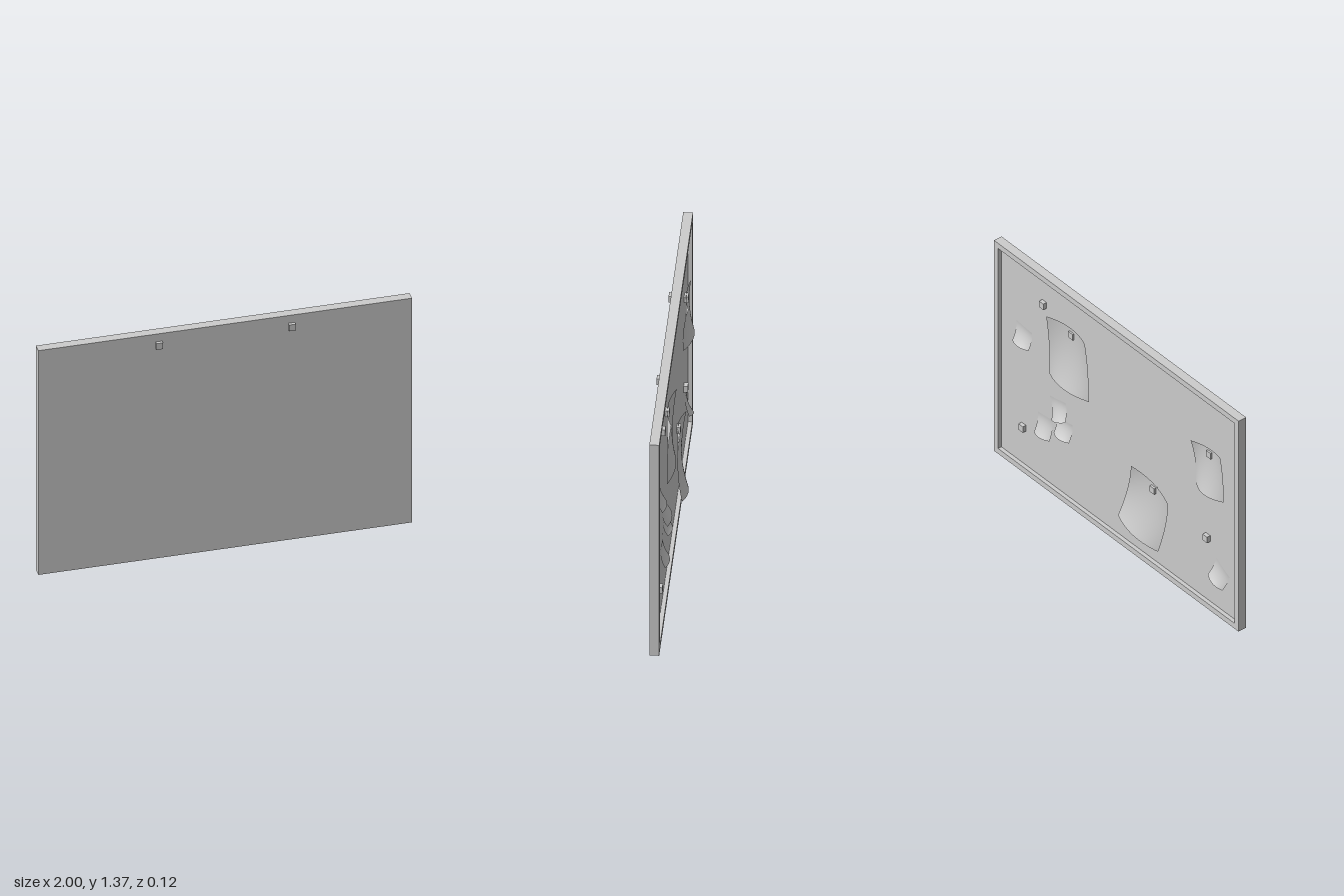
import * as THREE from 'three';

const W = 2, H = 1.365, RIM = 0.034;
const BACK = -0.01, PANEL = 0.013, FRONT = 0.041;

export function createModel() {
  const group = new THREE.Group();
  const grey = new THREE.MeshStandardMaterial({ color: 0xcccccc });
  const sheet = new THREE.MeshStandardMaterial({ color: 0xcccccc, side: THREE.DoubleSide });

  const add = (name, geometry, material = grey) => {
    const mesh = new THREE.Mesh(geometry, material);
    mesh.name = name;
    group.add(mesh);
    return mesh;
  };

  // Solid board
  add('board', new THREE.BoxGeometry(W, H, FRONT - PANEL))
    .position.set(0, H / 2, (FRONT + PANEL) / 2);

  // Raised rim around the pinning side
  const rim = new THREE.Shape([[-1, 0], [1, 0], [1, H], [-1, H]].map(p => new THREE.Vector2(...p)));
  const a = 1 - RIM, b = H - RIM;
  rim.holes.push(new THREE.Path([[-a, RIM], [-a, b], [a, b], [a, RIM]].map(p => new THREE.Vector2(...p))));
  add('rim', new THREE.ExtrudeGeometry(rim, { depth: PANEL - BACK, bevelEnabled: false }))
    .position.z = BACK;

  // Magnets: six on the pinning side, two on the plain front
  const magnet = new THREE.BoxGeometry(0.036, 0.038, 0.022);
  const pins = [[0.615, 1.167], [0.375, 1.11], [-0.752, 1], [-0.29, 0.5], [0.783, 0.272], [-0.723, 0.44]];
  for (const [x, y] of pins) add('magnet', magnet).position.set(x, y, 0.002);
  for (const x of [-0.355, 0.355]) add('frontMagnet', magnet).position.set(x, 1.299, 0.048);

  // Quadratic through three values at t = 0, 0.5, 1
  const quad = ([p, q, r], t) =>
    p * (1 - t) * (1 - 2 * t) + q * 4 * t * (1 - t) + r * t * (2 * t - 1);
  const lerp = THREE.MathUtils.lerp;

  // Curled sheet: corners in order +x top, -x top, -x bottom, +x bottom;
  // depths are three rows (top, middle, bottom) from +x to -x
  const addSheet = (name, corners, depths) => {
    const geometry = new THREE.PlaneGeometry(1, 1, 14, 14);
    const pos = geometry.attributes.position, uv = geometry.attributes.uv;
    const [c0, c1, c2, c3] = corners;
    for (let i = 0; i < pos.count; i++) {
      const u = uv.getX(i), v = 1 - uv.getY(i);
      const at = k => lerp(lerp(c0[k], c1[k], u), lerp(c3[k], c2[k], u), v);
      const z = quad(depths.map(row => quad(row, u)), v);
      pos.setXYZ(i, at(0), at(1), Math.min(z, PANEL - 0.001));
    }
    geometry.computeVertexNormals();
    add(name, geometry, sheet);
  };

  // Large papers
  addSheet('paper', [[0.544, 1.15], [0.228, 1.152], [0.224, 0.771], [0.544, 0.766]],
    [[-0.033, 0, -0.033], [-0.014, -0.004, -0.014], [-0.01, -0.042, -0.01]]);
  addSheet('paper', [[-0.62, 1.023], [-0.853, 1.04], [-0.875, 0.762], [-0.63, 0.746]],
    [[-0.02, 0.002, -0.012], [0.007, -0.008, -0.003], [0.008, -0.038, -0.007]]);
  addSheet('paper', [[-0.134, 0.572], [-0.442, 0.5], [-0.349, 0.138], [-0.048, 0.21]],
    [[-0.02, 0.004, -0.024], [-0.01, -0.008, -0.005], [-0.037, -0.058, -0.016]]);

  // Small sticky notes, flat at the top and curling out at the bottom
  const curl = [[0.011, 0.009, 0.011], [0.009, 0.002, 0.009], [-0.012, -0.031, -0.012]];
  const notes = [
    [[0.84, 0.933], [0.714, 0.92], [0.715, 0.815], [0.846, 0.811]],
    [[0.569, 0.602], [0.44, 0.627], [0.415, 0.523], [0.526, 0.48]],
    [[0.512, 0.5], [0.383, 0.517], [0.384, 0.409], [0.509, 0.405]],
    [[0.666, 0.442], [0.546, 0.454], [0.544, 0.328], [0.669, 0.319]],
    [[-0.795, 0.349], [-0.9, 0.284], [-0.87, 0.19], [-0.752, 0.229]],
  ];
  for (const corners of notes) addSheet('stickyNote', corners, curl);

  return group;
}
